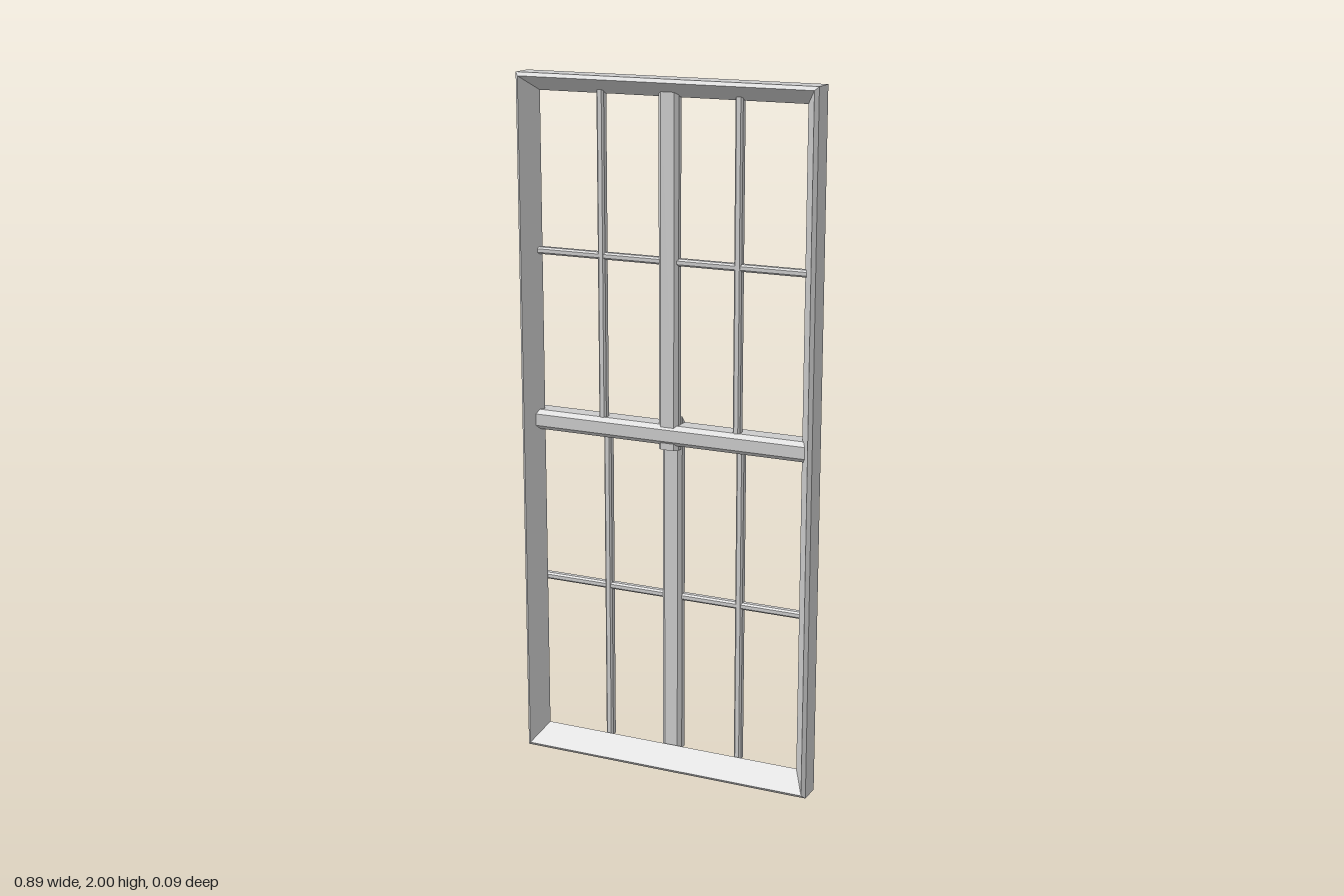
import * as THREE from 'three';

const material = new THREE.MeshStandardMaterial({ color: 0xcccccc, flatShading: true });
const sheet = new THREE.MeshStandardMaterial({ color: 0xcccccc, flatShading: true, side: THREE.DoubleSide });

function add(group, name, geometry, mat = material) {
  const mesh = new THREE.Mesh(geometry, mat);
  mesh.name = name;
  group.add(mesh);
  return mesh;
}

// Mitred casing, open at the back: rectangular rings joined by four-sided bands
function casingGeometry() {
  const rings = [ // half width, bottom, top, z
    [0.445, 0, 2, -0.028],
    [0.445, 0, 2, 0.037],
    [0.435, 0.01, 1.99, 0.046],
    [0.397, 0.062, 1.948, -0.012],
  ].map(([w, b, t, z]) => [[-w, b, z], [w, b, z], [w, t, z], [-w, t, z]]);
  const pos = [];
  for (let r = 0; r < rings.length - 1; r++) {
    for (let i = 0; i < 4; i++) {
      const j = (i + 1) % 4;
      const a = rings[r][i], b = rings[r][j], c = rings[r + 1][j], d = rings[r + 1][i];
      pos.push(...a, ...b, ...c, ...a, ...c, ...d);
    }
  }
  const geometry = new THREE.BufferGeometry();
  geometry.setAttribute('position', new THREE.Float32BufferAttribute(pos, 3));
  geometry.computeVertexNormals();
  return geometry;
}

// Upright bar with a flat back and bevelled front, running from y0 to y1
function barGeometry(width, back, front, y0, y1, bevel) {
  const h = width / 2;
  const shape = new THREE.Shape([
    [-h, -back], [-h, -(front - bevel)], [-h + bevel, -front],
    [h - bevel, -front], [h, -(front - bevel)], [h, -back],
  ].map(([x, y]) => new THREE.Vector2(x, y)));
  const geometry = new THREE.ExtrudeGeometry(shape, { depth: y1 - y0, bevelEnabled: false });
  return geometry.rotateX(-Math.PI / 2).translate(0, y0, 0);
}

function crossBar(width, back, front, halfLength, y, bevel) {
  return barGeometry(width, back, front, -halfLength, halfLength, bevel)
    .rotateZ(Math.PI / 2).translate(0, y, 0);
}

export function createModel() {
  const model = new THREE.Group();
  model.name = 'sashWindow';
  add(model, 'casing', casingGeometry(), sheet);
  add(model, 'meetingRail', crossBar(0.058, -0.047, 0.014, 0.43, 1.008, 0.012));

  // Upper sash sits forward of the lower sash
  const sashes = [
    { name: 'upper', back: -0.018, front: 0.008, barFront: 0.003, y0: 0.965, y1: 1.975, barY: 1.5 },
    { name: 'lower', back: -0.047, front: -0.018, barFront: -0.026, y0: 0.05, y1: 1.058, barY: 0.52 },
  ];
  for (const s of sashes) {
    const sash = new THREE.Group();
    sash.name = s.name + 'Sash';
    model.add(sash);
    const mullion = barGeometry(0.06, s.back, s.front, s.y0, s.y1, 0.01);
    if (s.name === 'lower') {
      // Slope the top end down toward the back
      const p = mullion.attributes.position;
      for (let i = 0; i < p.count; i++) {
        if (p.getY(i) > 1 && p.getZ(i) < -0.04) p.setY(i, 1.037);
      }
      mullion.computeVertexNormals();
    }
    add(sash, 'mullion', mullion);
    const low = s.name === 'upper' ? 1 : s.y0;
    const high = s.name === 'upper' ? s.y1 : 1.02;
    for (const side of [-1, 1]) {
      const muntin = barGeometry(0.022, s.back, s.barFront, low, high, 0.005);
      add(sash, 'verticalMuntin', muntin).position.x = side * 0.206;
    }
    add(sash, 'horizontalMuntin', crossBar(0.02, s.back + 0.001, s.barFront - 0.001, 0.43, s.barY, 0.005));
  }
  return model;
}
